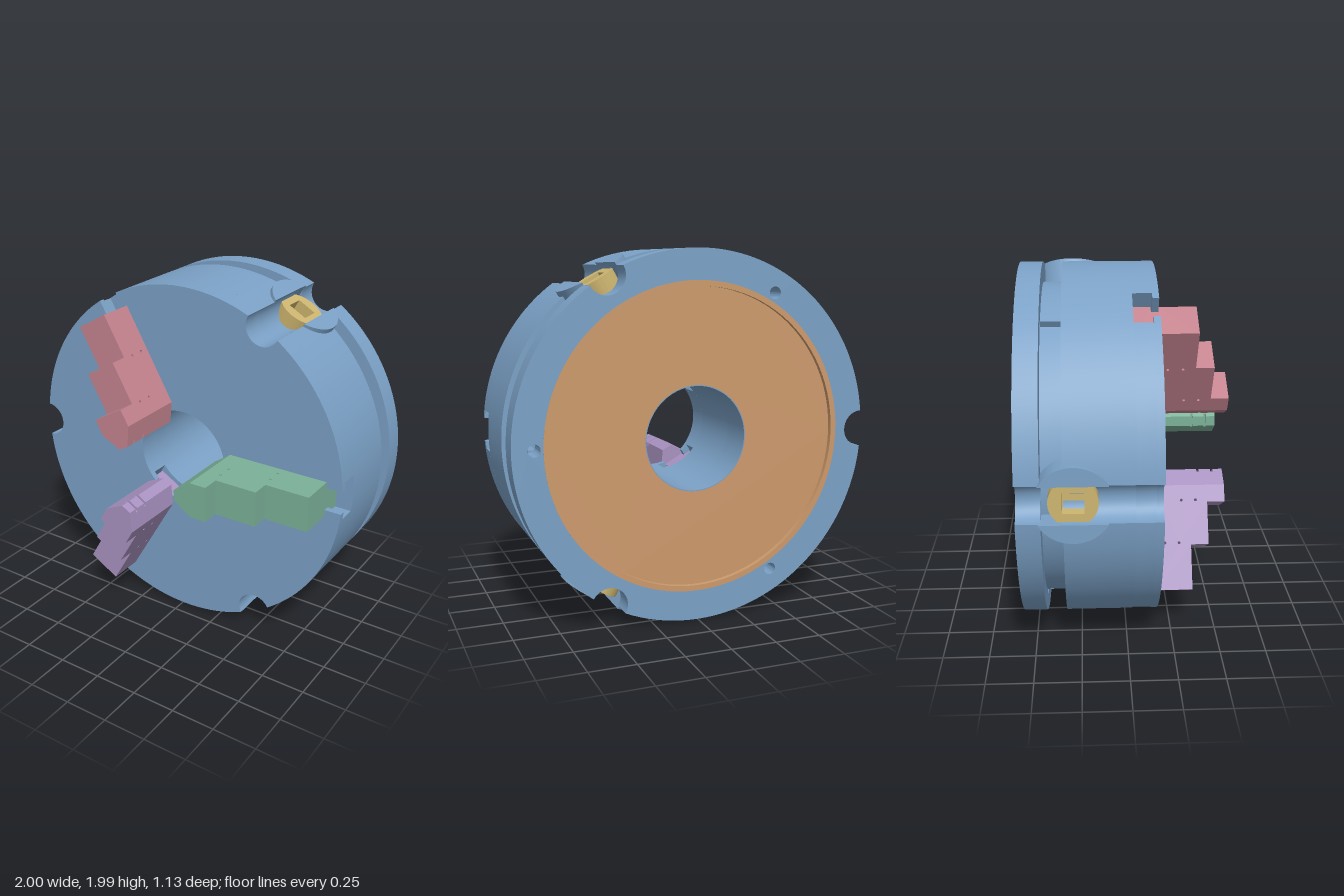
import * as THREE from 'three';
import { toCreasedNormals } from 'three/addons/utils/BufferGeometryUtils.js';

const paint = (name, color) => {
  const m = new THREE.MeshStandardMaterial({ color });
  m.name = name;
  return m;
};
const V = (x, y) => new THREE.Vector2(x, y);
const THIRD = (Math.PI * 2) / 3;
const R = 0.993, BORE = 0.28, CENTRE_Z = -0.28;

function add(parent, name, geometry, material) {
  const mesh = new THREE.Mesh(toCreasedNormals(geometry, 0.5), material);
  mesh.name = name;
  parent.add(mesh);
  return mesh;
}

// extrusion along z between two depths
function slab(shape, z0, z1) {
  return new THREE.ExtrudeGeometry(shape, { depth: z1 - z0, bevelEnabled: false, curveSegments: 48 })
    .translate(0, 0, z0);
}

function circle(r, x = 0, y = 0) {
  return new THREE.Path().absarc(x, y, r, 0, Math.PI * 2, true);
}

function ring(r0, r1) {
  const s = new THREE.Shape().absarc(0, 0, r1, 0, Math.PI * 2, false);
  s.holes.push(circle(r0));
  return s;
}

// points on an arc around the axis
function arc(r, a0, a1, n) {
  return Array.from({ length: n + 1 }, (_, i) => {
    const a = a0 + ((a1 - a0) * i) / n;
    return V(r * Math.cos(a), r * Math.sin(a));
  });
}

// outer edge of one third of the body, with a half-round channel in the middle
function outerEdge(w) {
  const end = Math.PI / 3 - Math.asin(w / R), lip = Math.asin(0.1 / R);
  const channel = arc(0.1, -Math.PI / 2, -Math.PI * 1.5, 20).map(p => p.add(V(0.988, 0)));
  return [...arc(R, -end, -lip, 24), ...channel, ...arc(R, lip, end, 24)];
}

// one third of a layer, leaving slots of half width w at its sides
function sector(w, r0, edge) {
  const a = Math.PI / 3 - Math.asin(w / r0);
  return new THREE.Shape([...edge, ...arc(r0, a, -a, 24)]);
}

// whole layer with three channels
function fullLayer(r0) {
  const pts = [];
  for (let k = 0; k < 3; k++) {
    const a = Math.PI / 3 + k * THIRD;
    outerEdge(0).slice(0, -1).forEach(p => pts.push(p.rotateAround(V(0, 0), a)));
  }
  const s = new THREE.Shape(pts);
  s.holes.push(circle(r0));
  return s;
}

function buildBody(blue, brown) {
  const body = new THREE.Group();
  body.name = 'body';
  add(body, 'mainDisc', slab(fullLayer(BORE), -0.33, 0.03), blue);

  // layers cut by the T-slots, and the slit floor of the rim groove
  const grooveEnd = Math.PI / 3 - Math.asin(0.02 / 0.88);
  for (let k = 0; k < 3; k++) {
    const third = new THREE.Group();
    third.name = 'bodyThird';
    third.rotation.z = Math.PI / 3 + k * THIRD;
    add(third, 'slotFootLayer', slab(sector(0.108, BORE, outerEdge(0.108)), 0.03, 0.132), blue);
    add(third, 'faceLayer', slab(sector(0.065, BORE, outerEdge(0.065)), 0.132, 0.167), blue);
    add(third, 'grooveFloor', slab(sector(0.02, 0.84, arc(0.88, -grooveEnd, grooveEnd, 48)), -0.44, -0.33), blue);
    body.add(third);
  }

  // back flange with three screw holes
  const flange = fullLayer(0.83);
  for (let k = 0; k < 3; k++) {
    flange.holes.push(circle(0.033, 0.877 * Math.cos(k * THIRD), 0.877 * Math.sin(k * THIRD)));
  }
  add(body, 'backFlange', slab(flange, -0.565, -0.44), blue);
  add(body, 'boreSleeve', slab(ring(BORE, 0.285), -0.54, -0.33), blue);

  // dished back plate
  add(body, 'backPlate', slab(ring(0.285, 0.8), -0.54, -0.44), brown);
  add(body, 'backPlateRim', slab(ring(0.8, 0.83), -0.566, -0.44), brown);
  return body;
}

// extrusion along the radius (local x); shape x runs along -z, shape y along the tangent
function radial(shape, r0, r1) {
  return slab(shape, r0, r1).rotateY(Math.PI / 2).translate(0, 0, CENTRE_Z);
}

function buildPinion(blue, gold) {
  const g = new THREE.Group();
  g.name = 'pinionSeat';

  // raised collar on both sides of the channel
  const a = Math.asin(0.1 / 0.2);
  for (const turn of [0, Math.PI]) {
    const s = new THREE.Shape(arc(0.2, a + turn, Math.PI - a + turn, 32));
    add(g, 'collar', radial(s, 0.86, 1.003), blue);
  }

  // key pinion with a square socket
  const h = 0.055;
  const head = new THREE.Shape().absarc(0, 0, 0.125, 0, Math.PI * 2, false);
  head.holes.push(new THREE.Path([V(-h, -h), V(-h, h), V(h, h), V(h, -h)]));
  add(g, 'pinionHead', radial(head, 0.89, 0.968), gold);
  const base = new THREE.Shape().absarc(0, 0, 0.12, 0, Math.PI * 2, false);
  add(g, 'pinionBase', radial(base, 0.85, 0.89), gold);
  return g;
}

function buildJaw(name, material) {
  const g = new THREE.Group();
  g.name = name;
  const across = (shape, half) => new THREE.ExtrudeGeometry(shape,
    { depth: half * 2, bevelEnabled: false, curveSegments: 6 })
    .rotateX(Math.PI / 2).translate(0, half, 0);

  // stepped block with small cross holes
  const steps = new THREE.Shape([V(0.315, 0.167), V(0.9, 0.167), V(0.9, 0.367), V(0.65, 0.367),
    V(0.65, 0.466), V(0.411, 0.466), V(0.411, 0.565), V(0.315, 0.565)]);
  for (const [r, z] of [[0.4, 0.32], [0.4, 0.4], [0.64, 0.22], [0.64, 0.3]]) {
    steps.holes.push(circle(0.008, r, z));
  }
  add(g, 'jawSteps', across(steps, 0.1), material);

  // tapered gripping tip with two notches
  const edge = [V(0.315, 0.565), V(0.215, 0.565)];
  for (const z of [0.505, 0.425]) {
    edge.push(V(0.215, z + 0.007), V(0.232, z + 0.007), V(0.232, z - 0.007), V(0.215, z - 0.007));
  }
  edge.push(V(0.215, 0.167), V(0.315, 0.167));
  const tip = across(new THREE.Shape(edge), 0.1);
  const p = tip.attributes.position;
  for (let i = 0; i < p.count; i++) {
    p.setY(i, Math.sign(p.getY(i)) * (0.03 + (p.getX(i) - 0.215) * 0.7));
  }
  add(g, 'jawTip', tip, material);

  // T-shaped guide in the slot
  add(g, 'jawNeck', new THREE.BoxGeometry(0.6, 0.122, 0.042).translate(0.6, 0, 0.148), material);
  add(g, 'jawFoot', new THREE.BoxGeometry(0.6, 0.2, 0.092).translate(0.6, 0, 0.082), material);
  return g;
}

export function createModel() {
  const blue = paint('steel blue', 0x7ba1c6);
  const brown = paint('bronze brown', 0xcc9a6c);
  const gold = paint('brass gold', 0xcdb56f);
  const model = new THREE.Group();
  model.name = 'threeJawChuck';

  const chuck = new THREE.Group();
  chuck.name = 'chuck';
  chuck.position.set(0.005, 0.995, 0);
  chuck.add(buildBody(blue, brown));

  const jaws = [
    ['greenJaw', paint('soft green', 0x7bb198)],
    ['redJaw', paint('soft red', 0xc4838e)],
    ['purpleJaw', paint('soft purple', 0xa992c1)],
  ];
  jaws.forEach(([name, material], k) => {
    const jaw = buildJaw(name, material);
    jaw.rotation.z = k * THIRD;
    const pinion = buildPinion(blue, gold);
    pinion.rotation.z = Math.PI / 3 + k * THIRD;
    chuck.add(jaw, pinion);
  });
  model.add(chuck);
  return model;
}
